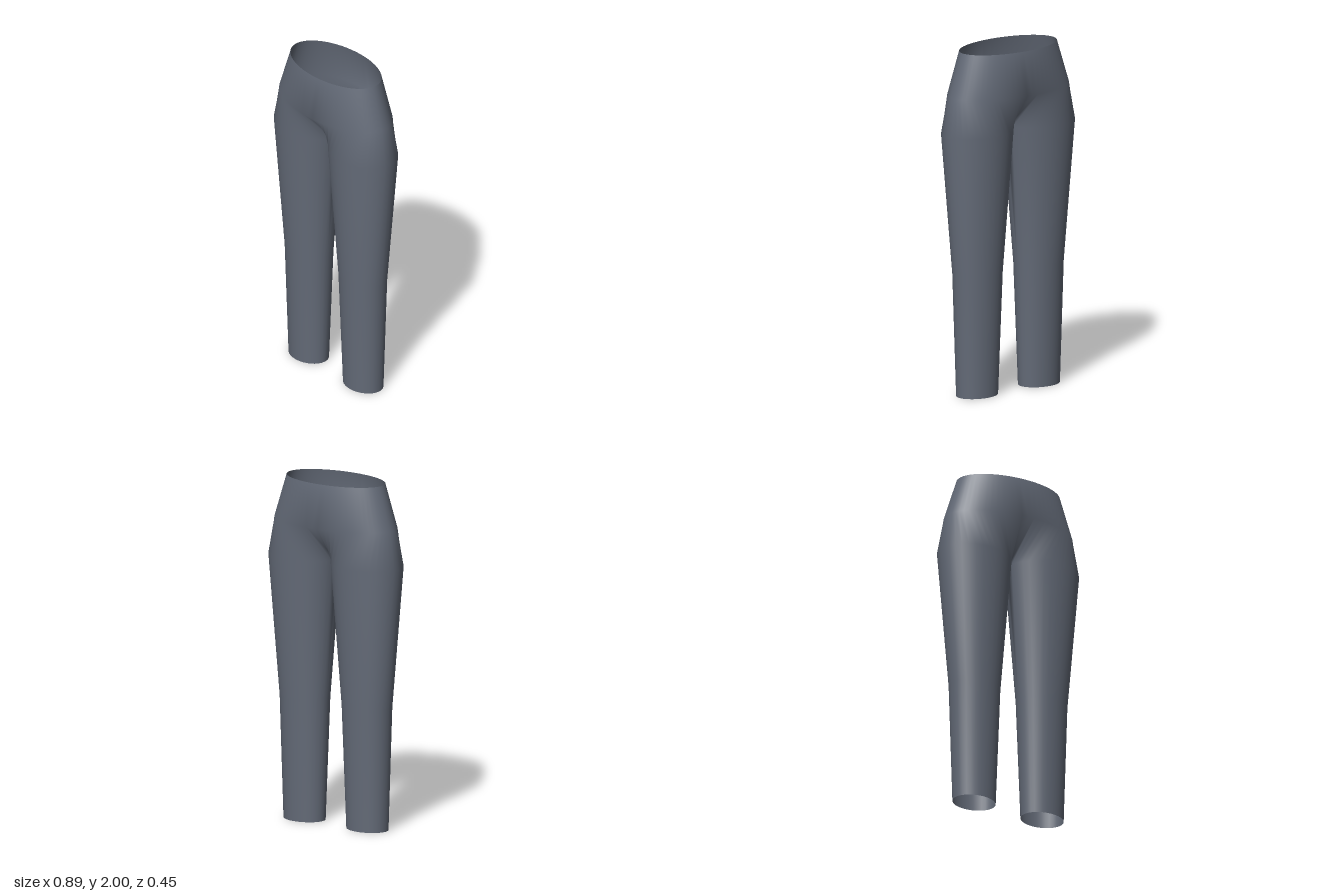
import * as THREE from 'three';
import { mergeGeometries, mergeVertices } from 'three/addons/utils/BufferGeometryUtils.js';

const SEGMENTS = 32; // columns per half

// Cross-sections from waist to hem. turn 1 = half of the shared body ellipse, turn 2 = full leg ellipse.
const SECTIONS = [
  { y: 2.0, cx: 0, rx: 0.325, rz: 0.18, turn: 1 }, // waist
  { y: 1.75, cx: 0, rx: 0.405, rz: 0.223, turn: 1 }, // hip
  { y: 1.53, cx: 0.2235, rx: 0.2235, rz: 0.175, turn: 2 }, // thigh, touching at the crotch
  { y: 0.71, cx: 0.222, rx: 0.154, rz: 0.124, turn: 2 }, // knee
  { y: 0.0, cx: 0.225, rx: 0.13, rz: 0.1, turn: 2 }, // hem
];

// Left half: the half body ellipse lofts into a closed leg tube.
function halfTrousers() {
  const positions = [];
  const indices = [];
  for (const { y, cx, rx, rz, turn } of SECTIONS) {
    for (let j = 0; j <= SEGMENTS; j++) {
      const angle = turn * Math.PI * (j / SEGMENTS - 0.5);
      positions.push(cx + rx * Math.cos(angle), y, rz * Math.sin(angle));
    }
  }
  const row = SEGMENTS + 1;
  for (let i = 0; i < SECTIONS.length - 1; i++) {
    for (let j = 0; j < SEGMENTS; j++) {
      const a = i * row + j;
      const c = a + row;
      // Diagonals mirror about the side seam
      if (j < SEGMENTS / 2) indices.push(a, a + 1, c, a + 1, c + 1, c);
      else indices.push(a, a + 1, c + 1, a, c + 1, c);
    }
  }
  const geometry = new THREE.BufferGeometry();
  geometry.setAttribute('position', new THREE.Float32BufferAttribute(positions, 3));
  geometry.setIndex(indices);
  return geometry;
}

export function createModel() {
  const group = new THREE.Group();
  group.name = 'trousers';

  const cloth = new THREE.MeshStandardMaterial({ color: 0x646b78, side: THREE.DoubleSide });
  cloth.name = 'slate cloth';

  // Both halves are welded so that the shading runs smoothly across the centre seam
  const left = halfTrousers();
  const right = left.clone().rotateY(Math.PI);
  const geometry = mergeVertices(mergeGeometries([left, right]), 1e-4);
  geometry.computeVertexNormals();

  const mesh = new THREE.Mesh(geometry, cloth);
  mesh.name = 'waistAndLegs';
  group.add(mesh);
  return group;
}
